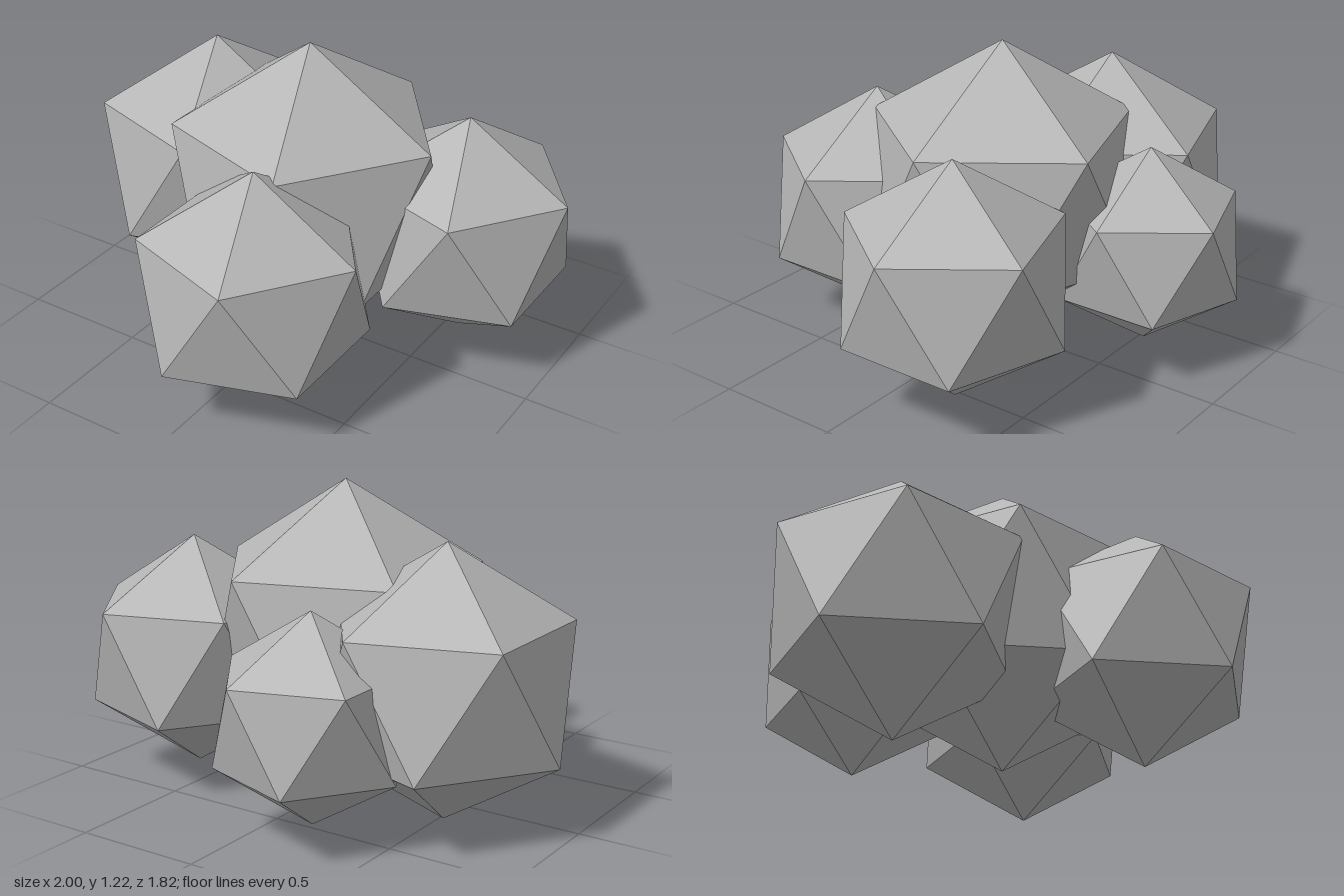
import * as THREE from 'three';

// Cluster of five faceted boulders, each standing on one corner
export function createModel() {
  const group = new THREE.Group();
  group.name = 'boulderCluster';

  const stone = new THREE.MeshStandardMaterial({ color: 0xb4b4b4, flatShading: true });
  stone.name = 'stone grey';

  // Unit icosahedron turned so one corner points straight up
  // and one corner of its upper ring points to +x
  const rock = new THREE.IcosahedronGeometry(1, 0);
  rock.rotateZ(-Math.atan(2 / (1 + Math.sqrt(5))));

  // name, radius, centre
  const boulders = [
    ['centreBoulder', 0.59, [0.005, 0.632, -0.032]],
    ['leftBoulder', 0.466, [0.578, 0.51, -0.247]],
    ['rightBoulder', 0.526, [-0.53, 0.54, -0.177]],
    ['frontBoulder', 0.478, [0.112, 0.479, 0.504]],
    ['backBoulder', 0.4, [-0.21, 0.45, -0.566]],
  ];
  for (const [name, radius, centre] of boulders) {
    const mesh = new THREE.Mesh(rock, stone);
    mesh.name = name;
    mesh.scale.setScalar(radius);
    mesh.position.set(...centre);
    group.add(mesh);
  }
  return group;
}
